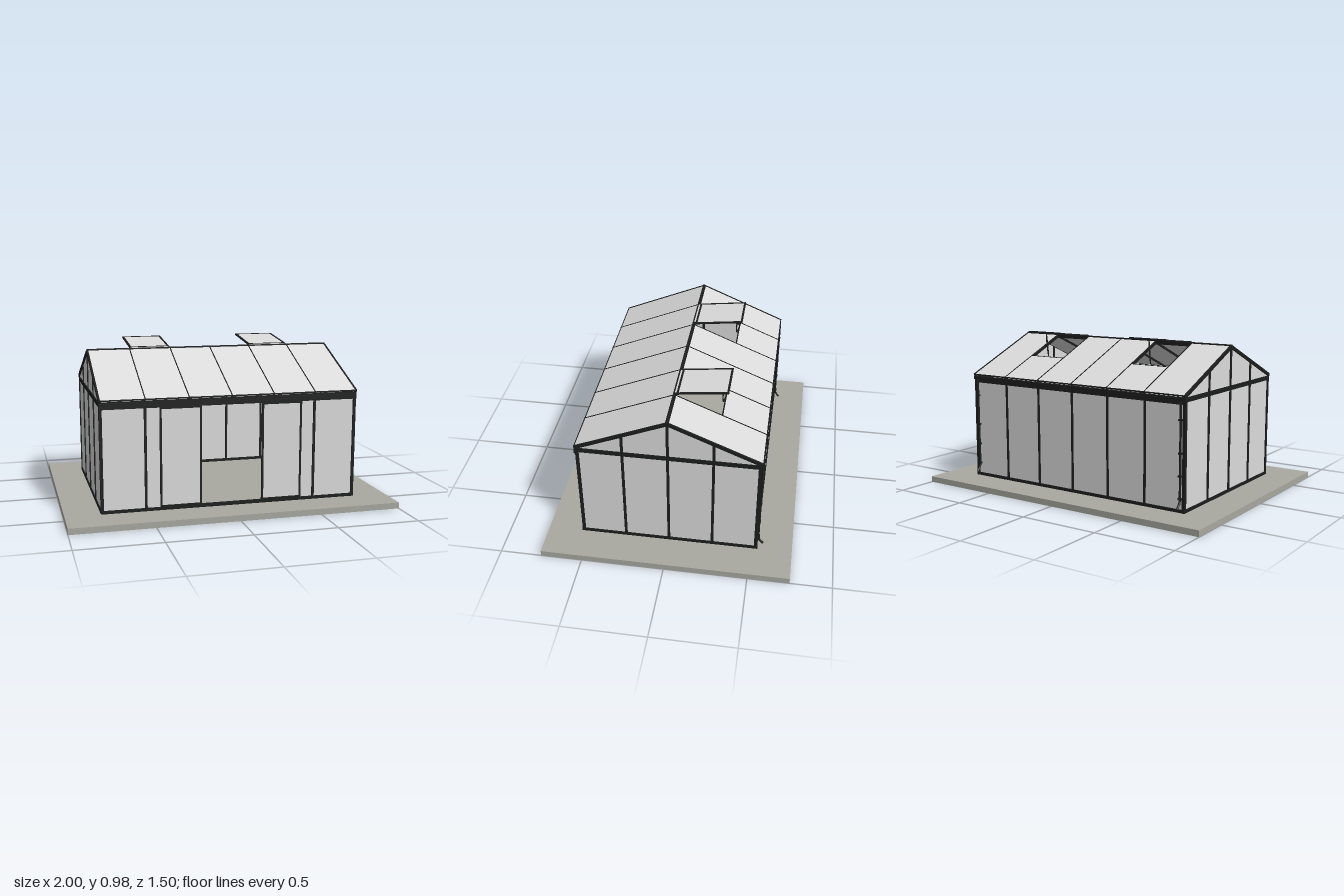
import * as THREE from 'three';

export function createModel() {
  const model = new THREE.Group();
  model.name = 'greenhouse';
  const glass = new THREE.MeshStandardMaterial({ color: 0xdcdcdc });
  glass.name = 'pale glass';
  glass.side = THREE.DoubleSide;
  const frame = new THREE.MeshStandardMaterial({ color: 0x1c1e1d });
  frame.name = 'black frame';
  const stone = new THREE.MeshStandardMaterial({ color: 0xa9a9a1 });
  stone.name = 'grey slab';

  const W = 0.78, D = 0.53, FLOOR = 0.037, EAVE = 0.68, RIDGE = 0.936, EDGE = 0.545;
  const roofY = z => RIDGE - 0.422 * Math.abs(z);

  // Box given by its limits on each axis
  function box(name, mat, x0, x1, y0, y1, z0, z1, parent = model) {
    const m = new THREE.Mesh(new THREE.BoxGeometry(x1 - x0, y1 - y0, z1 - z0), mat);
    m.position.set((x0 + x1) / 2, (y0 + y1) / 2, (z0 + z1) / 2);
    m.name = name;
    parent.add(m);
    return m;
  }
  // Straight box running between two points in a plane of constant x
  function beam(name, mat, x, y0, z0, y1, z1, w, h, parent = model) {
    const a = new THREE.Vector3(x, y0, z0), b = new THREE.Vector3(x, y1, z1);
    const m = new THREE.Mesh(new THREE.BoxGeometry(w, h, a.distanceTo(b)), mat);
    m.position.copy(a).add(b).multiplyScalar(0.5);
    m.rotation.x = -Math.atan2(y1 - y0, z1 - z0);
    m.name = name;
    parent.add(m);
    return m;
  }

  // Ground slab
  box('baseSlab', stone, -1, 1, 0, FLOOR, -0.75, 0.75);

  // Gable ends
  const outline = new THREE.Shape([[-D, FLOOR], [D, FLOOR], [D, roofY(D) - 0.008], [0, RIDGE - 0.008],
    [-D, roofY(D) - 0.008]].map(p => new THREE.Vector2(...p)));
  const gableGeo = new THREE.ExtrudeGeometry(outline, { depth: 0.005, bevelEnabled: false });
  gableGeo.rotateY(Math.PI / 2);
  for (const s of [-1, 1]) {
    const pane = new THREE.Mesh(gableGeo, glass);
    pane.position.x = s * W - 0.0025;
    pane.name = 'gableGlass';
    model.add(pane);
    const x0 = s * W - 0.009, x1 = s * W + 0.009;
    box('gableSill', frame, x0, x1, FLOOR, 0.056, -D - 0.012, D + 0.012);
    box('gableTie', frame, x0, x1, 0.669, 0.696, -D - 0.01, D + 0.01);
    for (const z of [-0.265, 0, 0.265])
      box('gableMullion', frame, x0, x1, FLOOR, roofY(z) - 0.008, z - 0.008, z + 0.008);
    for (const z of [-D, D])
      box('cornerPost', frame, x0, x1, FLOOR, EAVE, z - 0.01, z + 0.01);
  }

  // Back wall
  box('backGlass', glass, -W, W, FLOOR, EAVE, -D - 0.0025, -D + 0.0025);
  for (const x of [-0.52, -0.26, 0, 0.26, 0.52])
    box('backMullion', frame, x - 0.007, x + 0.007, FLOOR, EAVE, -D - 0.008, -D + 0.008);
  box('backSill', frame, -W, W, FLOOR, 0.055, -D - 0.01, -D + 0.01);
  box('backEaveRail', frame, -W - 0.008, W + 0.008, 0.655, 0.675, -D - 0.01, -D + 0.01);
  box('backGutter', frame, -W - 0.008, W + 0.008, 0.675, 0.695, -D - 0.018, -D + 0.01);

  // Front wall with an open doorway and two slid-back doors
  box('frontSill', frame, -W, W, FLOOR, 0.055, D - 0.01, D + 0.012);
  box('frontEaveRail', frame, -W - 0.008, W + 0.008, 0.655, 0.675, D - 0.01, D + 0.018);
  box('frontGutter', frame, -W - 0.008, W + 0.008, 0.675, 0.695, D - 0.01, D + 0.018);
  for (const s of [-1, 1]) {
    const span = (name, mat, a, b, y0, y1, z0, z1) =>
      box(name, mat, Math.min(s * a, s * b), Math.max(s * a, s * b), y0, y1, z0, z1);
    span('frontGlass', glass, 0.25, W, FLOOR, EAVE, D - 0.0025, D + 0.0025);
    span('frontMullion', frame, 0.513, 0.528, FLOOR, EAVE, D - 0.008, D + 0.009);
    span('doorGlass', glass, 0.19, 0.43, 0.05, 0.66, D + 0.01, D + 0.014);
    span('doorStile', frame, 0.185, 0.197, 0.05, 0.665, D + 0.007, D + 0.017);
    span('doorStile', frame, 0.425, 0.437, 0.05, 0.665, D + 0.007, D + 0.017);
    span('doorBottomRail', frame, 0.185, 0.437, 0.05, 0.068, D + 0.007, D + 0.017);
    span('doorTopRail', frame, 0.185, 0.437, 0.645, 0.665, D + 0.007, D + 0.017);
  }

  // Roof: six bays a side, with an opening under each vent at the back
  const VENT_Z = 0.28, bays = [-0.785, -0.52, -0.26, 0, 0.26, 0.52, 0.785];
  for (const s of [-1, 1]) {
    for (let i = 0; i < 6; i++) {
      const top = s < 0 && (i === 1 || i === 4) ? VENT_Z : 0;
      beam('roofGlass', glass, (bays[i] + bays[i + 1]) / 2, roofY(top), s * top,
        roofY(EDGE), s * EDGE, bays[i + 1] - bays[i], 0.005);
      if (top) box('ventSill', frame, bays[i], bays[i + 1], roofY(top) - 0.006, roofY(top) + 0.004, -top - 0.004, -top + 0.004);
    }
    bays.forEach((x, i) => {
      const end = i === 0 || i === 6;
      beam(end ? 'vergeBar' : 'roofBar', frame, x, roofY(0) - 0.006, 0,
        roofY(EDGE) - 0.006, s * EDGE, end ? 0.011 : 0.006, 0.021);
    });
    box('roofEdge', frame, -0.785, 0.785, roofY(EDGE) - 0.004, roofY(EDGE) + 0.004, s * EDGE - 0.003, s * EDGE + 0.003);
  }
  box('ridgeBar', frame, -0.788, 0.788, RIDGE - 0.02, RIDGE + 0.006, -0.01, 0.01);

  // Raised roof vents with bowed opener arms
  for (const x of [-0.39, 0.39]) {
    const vent = new THREE.Group();
    vent.name = 'roofVent';
    model.add(vent);
    const y0 = 0.942, y1 = 0.979, z1 = -0.312;
    beam('ventGlass', glass, x, y0, 0, y1, z1, 0.245, 0.005, vent);
    for (const s of [-1, 1])
      beam('ventSide', frame, x + s * 0.121, y0, 0, y1, z1, 0.012, 0.009, vent);
    box('ventHinge', frame, x - 0.127, x + 0.127, y0 - 0.003, y0 + 0.007, -0.022, -0.01, vent);
    box('ventLip', frame, x - 0.127, x + 0.127, y1 - 0.005, y1 + 0.005, z1 - 0.002, z1 + 0.01, vent);
    for (const bow of [-0.014, 0.014]) {
      const path = new THREE.QuadraticBezierCurve3(new THREE.Vector3(x, 0.825, -0.27),
        new THREE.Vector3(x + bow, 0.9, -0.283 + bow * 1.6), new THREE.Vector3(x, 0.972, -0.29));
      const arm = new THREE.Mesh(new THREE.TubeGeometry(path, 10, 0.004, 6), frame);
      arm.name = 'openerArm';
      vent.add(arm);
    }
  }

  // Downpipes on the back corners
  for (const x of [-0.76, 0.76]) {
    const path = new THREE.CatmullRomCurve3([[0.68, -0.543], [0.4, -0.543], [0.12, -0.543], [0.095, -0.546], [0.065, -0.572]]
      .map(([y, z]) => new THREE.Vector3(x, y, z)));
    const pipe = new THREE.Mesh(new THREE.TubeGeometry(path, 32, 0.007, 8), frame);
    pipe.name = 'downpipe';
    model.add(pipe);
    for (const y of [0.12, 0.25, 0.38, 0.57])
      box('pipeBracket', frame, x - 0.011, x + 0.011, y - 0.005, y + 0.005, -0.552, -0.53);
  }
  return model;
}
